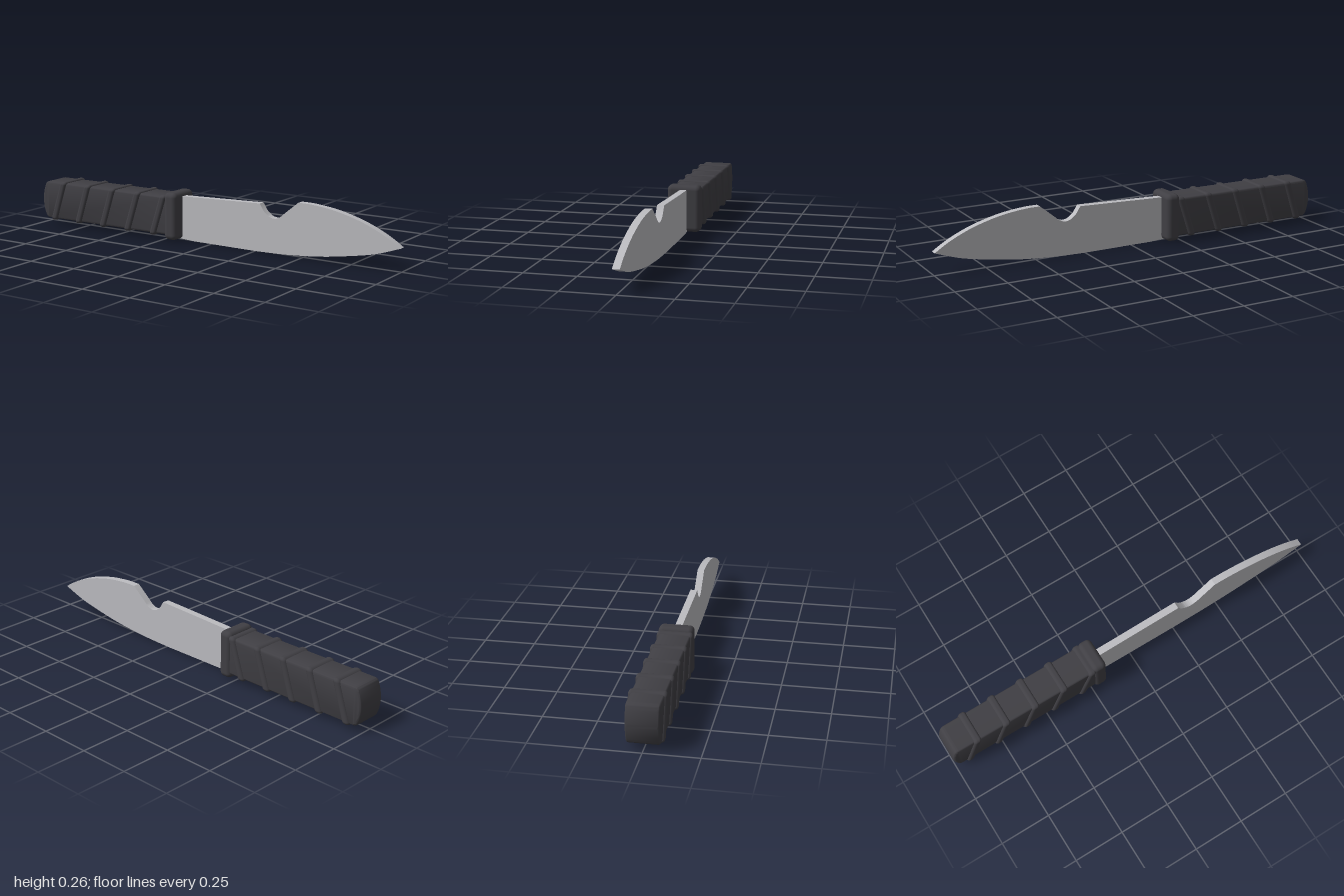
import * as THREE from 'three';
import { toCreasedNormals } from 'three/addons/utils/BufferGeometryUtils.js';
import { RoundedBoxGeometry } from 'three/addons/geometries/RoundedBoxGeometry.js';

const steel = new THREE.MeshStandardMaterial({ name: 'steel', color: 0xbcbcc0 });
const rubber = new THREE.MeshStandardMaterial({ name: 'dark rubber', color: 0x403f44 });

const MID_Y = 0.122;

function addPart(group, name, geometry, material) {
  const mesh = new THREE.Mesh(geometry, material);
  mesh.name = name;
  group.add(mesh);
  return mesh;
}

// Extrudes a side profile, centred on z = 0
function slab(shape, thickness, bevel = 0) {
  const depth = thickness - 2 * bevel;
  const geometry = new THREE.ExtrudeGeometry(shape, {
    depth, curveSegments: 16,
    bevelEnabled: bevel > 0, bevelSize: bevel, bevelOffset: -bevel,
    bevelThickness: bevel, bevelSegments: 4,
  });
  geometry.translate(0, 0, -depth / 2);
  return toCreasedNormals(geometry, 0.6);
}

const points = (list) => list.map(([x, y]) => new THREE.Vector2(x, y));

// Blade outline: curved edge, pointed tip, notch in the spine
function bladeShape() {
  const s = new THREE.Shape();
  s.moveTo(-0.2, 0.008);
  s.lineTo(-0.1, 0.002);
  s.lineTo(0.25, 0);
  s.splineThru(points([[0.42, 0.005], [0.6, 0.02], [0.76, 0.045], [0.88, 0.07], [1, 0.11]]));
  s.splineThru(points([[0.92, 0.158], [0.81, 0.205], [0.68, 0.24], [0.56, 0.256], [0.48, 0.258]]));
  s.lineTo(0.405, 0.197);
  s.splineThru(points([[0.385, 0.18], [0.355, 0.168], [0.322, 0.175], [0.295, 0.197]]));
  s.lineTo(0.273, 0.231);
  s.lineTo(-0.2, 0.216);
  return s;
}

// Grip outline with a bulging butt end
function gripShape() {
  const s = new THREE.Shape();
  s.moveTo(-0.96, 0.028);
  s.lineTo(-0.2, 0.028);
  s.lineTo(-0.2, 0.217);
  s.lineTo(-0.96, 0.217);
  s.quadraticCurveTo(-0.977, 0.217, -0.984, 0.2);
  s.quadraticCurveTo(-1.016, MID_Y, -0.984, 0.045);
  s.quadraticCurveTo(-0.977, 0.028, -0.96, 0.028);
  return s;
}

export function createModel() {
  const model = new THREE.Group();
  model.name = 'knife';

  addPart(model, 'blade', slab(bladeShape(), 0.034), steel);
  addPart(model, 'grip', slab(gripShape(), 0.15, 0.012), rubber);

  // Guard between grip and blade
  addPart(model, 'guard', new RoundedBoxGeometry(0.07, 0.233, 0.166, 4, 0.024), rubber)
    .position.set(-0.2, MID_Y, 0);

  // Five slanted ridges wrapped round the grip
  const ridge = new RoundedBoxGeometry(0.04, 0.204, 0.17, 4, 0.016);
  ridge.applyMatrix4(new THREE.Matrix4().makeShear(0, 0, 0.33, 0, 0, 0));
  for (let i = 0; i < 5; i++) {
    addPart(model, 'gripRidge' + (i + 1), ridge, rubber)
      .position.set(-0.892 + i * 0.155, MID_Y, 0);
  }
  return model;
}
